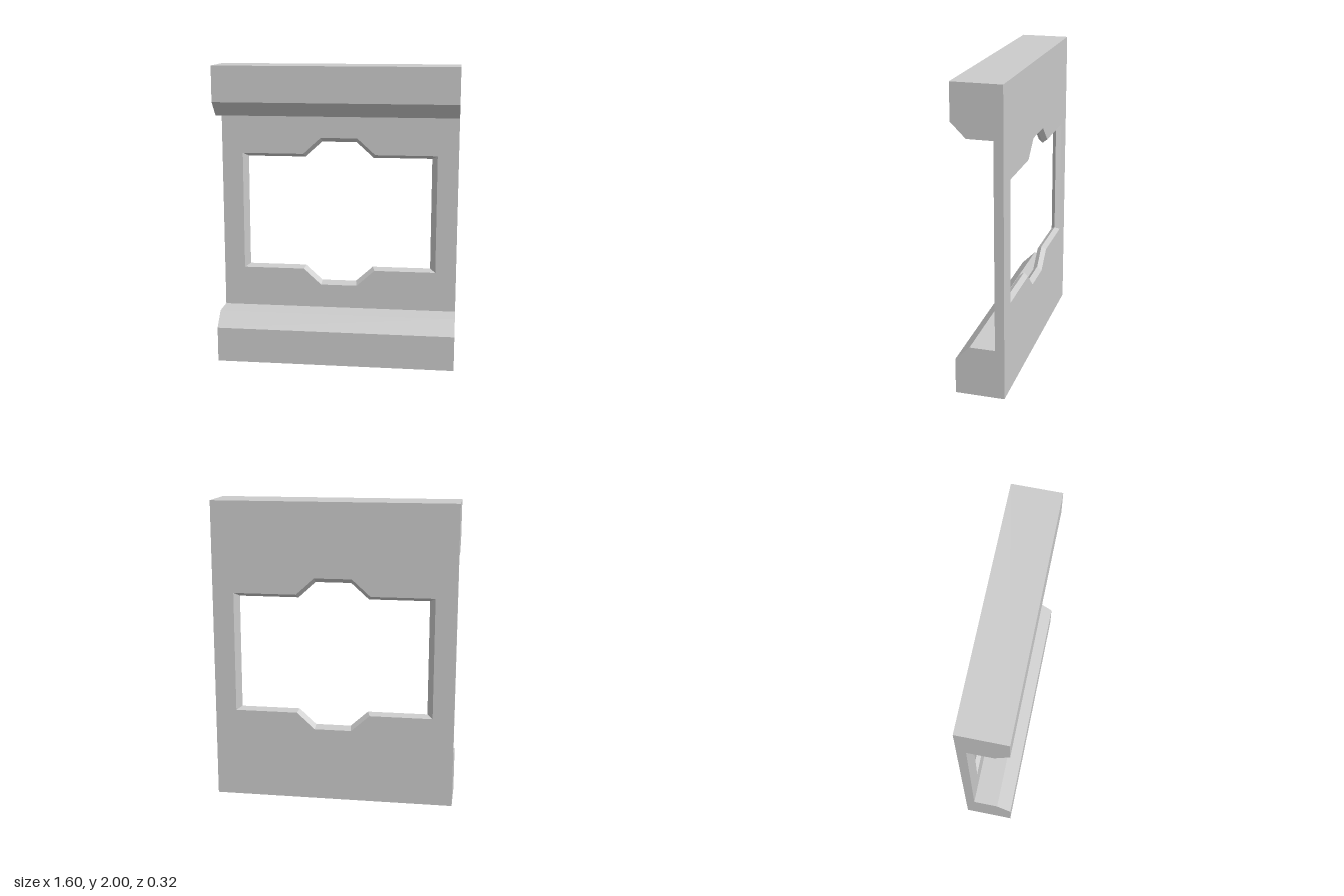
import * as THREE from 'three';

const WIDTH = 1.6, BACK = -0.16, FRONT = 0.16, PANEL_FRONT = -0.1;
const RAIL = 0.33, MID = 1;

// Window outline, counter-clockwise about the panel centre, mirrored from one quarter
function windowOutline(scale) {
  const quarter = [[0.66, 0.4], [0.245, 0.4], [0.123, 0.51]];
  const top = [...quarter, ...quarter.map(([x, y]) => [-x, y]).reverse()];
  const all = [...top, ...top.map(([x, y]) => [-x, -y])];
  return all.map(([x, y]) => new THREE.Vector2(x * scale, MID + y * scale));
}

// Faceted surface joining successive loops of points from front to back
function loft(loops) {
  const pos = [];
  for (let k = 0; k < loops.length - 1; k++) {
    const n = loops[k].length;
    for (let i = 0; i < n; i++) {
      const j = (i + 1) % n;
      const a = loops[k][i], b = loops[k][j], c = loops[k + 1][j], d = loops[k + 1][i];
      for (const p of [a, b, c, a, c, d]) pos.push(p.x, p.y, p.z);
    }
  }
  const geo = new THREE.BufferGeometry();
  geo.setAttribute('position', new THREE.Float32BufferAttribute(pos, 3));
  geo.computeVertexNormals();
  return geo;
}

export function createModel() {
  const model = new THREE.Group();
  const material = new THREE.MeshStandardMaterial({ color: 0xcccccc, flatShading: true });
  const add = (parent, name, geometry) => {
    const mesh = new THREE.Mesh(geometry, material);
    mesh.name = name;
    parent.add(mesh);
    return mesh;
  };

  // Chamfered rails, a side profile extruded across the width
  const profile = [[FRONT, 0], [FRONT, 0.235], [0.065, RAIL], [BACK, RAIL], [BACK, 0]];
  for (const [name, place] of [['bottomRail', y => y], ['topRail', y => 2 - y]]) {
    const shape = new THREE.Shape(profile.map(([z, y]) => new THREE.Vector2(-z, place(y))));
    const geo = new THREE.ExtrudeGeometry(shape, { depth: WIDTH, bevelEnabled: false });
    add(model, name, geo.translate(0, 0, -WIDTH / 2).rotateY(Math.PI / 2));
  }

  // Thin panel between the rails, pierced by the window
  const panel = new THREE.Group();
  panel.name = 'panel';
  model.add(panel);
  const w = WIDTH / 2, top = 2 - RAIL;
  const face = new THREE.Shape([[-w, RAIL], [w, RAIL], [w, top], [-w, top]].map(p => new THREE.Vector2(...p)));
  face.holes.push(new THREE.Path(windowOutline(1)));
  add(panel, 'panelFront', new THREE.ShapeGeometry(face).translate(0, 0, PANEL_FRONT));
  // The outline is symmetric, so the back is the front turned around
  add(panel, 'panelBack', new THREE.ShapeGeometry(face).rotateY(Math.PI).translate(0, 0, BACK));
  for (const side of [1, -1]) {
    const edge = new THREE.PlaneGeometry(PANEL_FRONT - BACK, top - RAIL).rotateY(side * Math.PI / 2);
    add(panel, side > 0 ? 'leftEdge' : 'rightEdge', edge.translate(side * w, MID, (PANEL_FRONT + BACK) / 2));
  }

  // Window lining, bevelled from both faces to a ridge at mid thickness
  const loops = [[1, PANEL_FRONT], [0.945, (PANEL_FRONT + BACK) / 2], [1, BACK]]
    .map(([s, z]) => windowOutline(s).map(p => new THREE.Vector3(p.x, p.y, z)));
  add(panel, 'windowBevel', loft(loops));

  return model;
}
